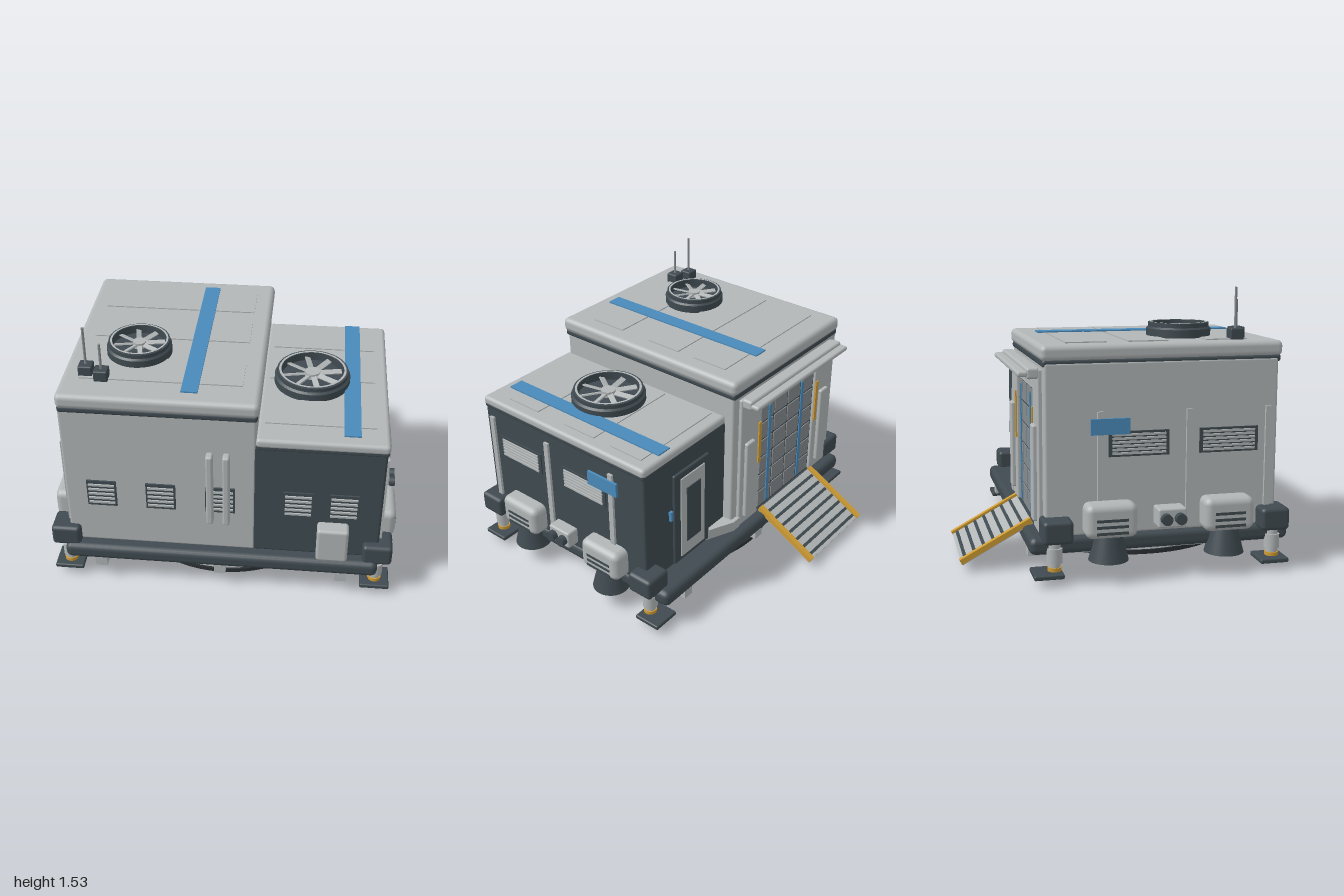
import * as THREE from 'three';
import { RoundedBoxGeometry } from 'three/addons/geometries/RoundedBoxGeometry.js';

const paint = (name, color) => {
  const m = new THREE.MeshStandardMaterial({ color });
  m.name = name;
  return m;
};

export function createModel() {
  const model = new THREE.Group();
  model.name = 'habitatModule';
  const light = paint('light grey', 0xb2b6b7);
  const dark = paint('slate', 0x3f4a50);
  const mid = paint('mid grey', 0x858b8d);
  const black = paint('rubber black', 0x2b3033);
  const blue = paint('blue', 0x4a8abb);
  const deepBlue = paint('deep blue', 0x2060ac);
  const yellow = paint('amber', 0xcf9c34);

  const add = (name, geo, mat, x, y, z, parent = model) => {
    const m = new THREE.Mesh(geo, mat);
    m.name = name;
    m.position.set(x, y, z);
    parent.add(m);
    return m;
  };
  // Box given by its extents on each axis, with optional rounded edges
  const box = (name, mat, x0, x1, y0, y1, z0, z1, r = 0, parent = model) => {
    const s = [x1 - x0, y1 - y0, z1 - z0];
    const geo = r ? new RoundedBoxGeometry(...s, 2, r) : new THREE.BoxGeometry(...s);
    return add(name, geo, mat, (x0 + x1) / 2, (y0 + y1) / 2, (z0 + z1) / 2, parent);
  };
  const cyl = (name, mat, r0, r1, h, x, y, z, parent = model, n = 24) =>
    add(name, new THREE.CylinderGeometry(r0, r1, h, n), mat, x, y, z, parent);

  // Louvred vent facing +z, turned about y
  const vent = (w, h, slats, x, y, z, turn = 0) => {
    const g = new THREE.Group();
    g.name = 'vent';
    box('ventPlate', dark, -w / 2, w / 2, -h / 2, h / 2, -0.005, 0.008, 0, g);
    for (let i = 0; i < slats; i++) {
      const sy = ((i + 0.5) / slats - 0.5) * h * 0.88;
      box('ventSlat', light, -w * 0.44, w * 0.44, sy - 0.006, sy + 0.006, 0.006, 0.016, 0, g);
    }
    g.position.set(x, y, z);
    g.rotation.y = turn;
    model.add(g);
  };

  // Base deck and runners
  box('baseDeck', dark, -0.89, 0.89, 0.15, 0.245, -0.555, 0.885, 0.035);
  for (const x of [-0.685, 0, 0.685])
    box('underRunner', light, x - 0.033, x + 0.033, 0.1, 0.16, -0.54, 0.875);

  // Turntable under the deck
  cyl('turntableSkirt', light, 0.61, 0.635, 0.1, 0, 0.105, 0.16, model, 64);
  cyl('turntablePlate', black, 0.645, 0.645, 0.024, 0, 0.052, 0.16, model, 64);
  const link = new THREE.Group();
  link.name = 'dockingLink';
  cyl('linkBody', deepBlue, 0.022, 0.022, 0.08, 0, 0, 0.06, link).rotation.x = Math.PI / 2;
  cyl('linkTail', deepBlue, 0.013, 0.03, 0.11, 0, 0, -0.025, link).rotation.x = Math.PI / 2;
  cyl('linkNub', light, 0.013, 0.013, 0.07, 0, 0.008, 0.135, link).rotation.x = Math.PI / 2;
  link.position.y = 0.03;
  model.add(link);

  // Tall and low bodies with their roof caps
  box('tallBody', light, -0.865, 0.195, 0.24, 1.16, -0.47, 0.81, 0.015);
  box('tallRoofBand', dark, -0.862, 0.2, 1.135, 1.175, -0.478, 0.825, 0.015);
  box('tallRoofCap', light, -0.868, 0.21, 1.165, 1.25, -0.487, 0.835, 0.03);
  box('lowBody', dark, 0.18, 0.89, 0.24, 0.97, -0.41, 0.81, 0.015);
  box('lowRoofBand', dark, 0.19, 0.895, 0.95, 0.985, -0.41, 0.812, 0.012);
  box('lowRoofCap', light, 0.19, 0.9, 0.965, 1.022, -0.415, 0.815, 0.022);

  // Roof panels and blue stripes
  for (const [z0, z1] of [[-0.34, -0.12], [0, 0.22], [0.43, 0.66]]) {
    box('tallRoofPanel', light, -0.77, 0.11, 1.246, 1.256, z0, z1);
    box('lowRoofPanel', light, 0.23, 0.83, 1.018, 1.028, z0, z1);
  }
  box('tallRoofStripe', blue, -0.21, -0.12, 1.255, 1.263, -0.39, 0.75);
  box('lowRoofStripe', blue, 0.655, 0.745, 1.028, 1.036, -0.39, 0.75);

  // Roof fans
  const fan = (x, y, z, r) => {
    const g = new THREE.Group();
    g.name = 'roofFan';
    const profile = [[1, 0], [1, 0.045], [0.94, 0.055], [0.94, 0.078], [0.82, 0.078], [0.82, 0.03], [0, 0.03]]
      .map(([a, b]) => new THREE.Vector2(a * r, b));
    // Duplicated points keep the rim corners crisp
    const crisp = profile.flatMap((p, i) => (i && i < profile.length - 1 ? [p, p.clone()] : [p]));
    add('fanRim', new THREE.LatheGeometry(crisp, 48), dark, 0, 0, 0, g).material = dark;
    const ring = add('fanRing', new THREE.RingGeometry(r * 0.83, r * 0.89, 48), light, 0, 0.081, 0, g);
    ring.rotation.x = -Math.PI / 2;
    cyl('fanHub', light, r * 0.2, r * 0.2, 0.035, 0, 0.05, 0, g);
    for (let i = 0; i < 8; i++) {
      const arm = new THREE.Group();
      arm.name = 'fanBlade';
      arm.rotation.y = (i / 8) * Math.PI * 2 + 0.2;
      box('blade', light, r * 0.18, r * 0.78, -0.004, 0.004, -r * 0.075, r * 0.075, 0, arm)
        .rotation.x = 0.35;
      arm.position.y = 0.052;
      g.add(arm);
    }
    g.position.set(x, y, z);
    model.add(g);
  };
  fan(-0.49, 1.25, 0.36, 0.18);
  fan(0.47, 1.02, 0.22, 0.215);

  // Antennas
  for (const [x, z, top] of [[-0.738, 0.605, 1.53], [-0.647, 0.645, 1.46]]) {
    box('antennaBase', dark, x - 0.038, x + 0.038, 1.245, 1.31, z - 0.038, z + 0.038, 0.008);
    cyl('antennaRod', mid, 0.007, 0.007, top - 1.3, x, (top + 1.3) / 2, z, model, 10);
  }

  // Front face details
  for (const x of [-0.66, -0.33, 0, 0.43, 0.68]) vent(0.165, 0.17, 5, x, 0.595, 0.812);
  for (const x of [-0.054, 0.037])
    box('frontPipe', light, x - 0.019, x + 0.019, 0.455, 0.925, 0.81, 0.868, 0.012);
  box('utilityBox', light, 0.54, 0.715, 0.26, 0.48, 0.8, 0.893, 0.018);

  // Corner blocks with stabiliser legs, and the equipment on both sides
  for (const s of [-1, 1]) {
    for (const [z, legZ, footZ] of [[0.78, 0.79, 0.78], [-0.415, -0.425, -0.465]]) {
      const x = s * 0.883;
      box('cornerBlock', dark, x - 0.083, x + 0.083, 0.225, 0.35, z - 0.08, z + 0.08, 0.022);
      cyl('legColumn', light, 0.032, 0.032, 0.17, x, 0.16, legZ);
      cyl('legCollar', light, 0.042, 0.042, 0.08, x, 0.15, legZ);
      cyl('legRing', yellow, 0.038, 0.038, 0.02, x, 0.078, legZ);
      box('legFoot', dark, x - 0.083, x + 0.083, 0.042, 0.068, footZ - 0.08, footZ + 0.08, 0.008);
    }
    const wall = s > 0 ? 0.89 : -0.865;
    const span = (name, mat, a, b, ...rest) =>
      box(name, mat, Math.min(s * a, s * b), Math.max(s * a, s * b), ...rest);
    const w = Math.abs(wall);
    for (const z of [0.755, 0.31, -0.175])
      span('sideStrip', light, w - 0.005, w + 0.015, 0.26, 0.9, z - 0.016, z + 0.016);
    for (const z of [0.533, 0.035]) vent(0.33, 0.135, 6, wall, 0.725, z, s * Math.PI / 2);
    span('sideBluePanel', blue, w + 0.01, w + 0.026, 0.78, 0.865, -0.23, -0.02);

    // Thrusters
    for (const z of [0.51, -0.135]) {
      span('thrusterHousing', light, 0.85, 0.988, 0.245, 0.43, z - 0.14, z + 0.14, 0.04);
      for (let i = 0; i < 3; i++)
        span('thrusterSlot', dark, 0.98, 0.991, 0.27 + i * 0.034, 0.285 + i * 0.034, z - 0.085, z + 0.085);
      cyl('thrusterCone', dark, 0.07, 0.108, 0.15, s * 0.888, 0.185, z, model, 32);
      const inner = cyl('thrusterRing', mid, 0.09, 0.09, 0.004, s * 0.888, 0.109, z, model, 32);
      inner.scale.y = 0.9;
      cyl('thrusterThroat', black, 0.08, 0.08, 0.004, s * 0.888, 0.107, z, model, 32);
    }
    // Twin port between the thrusters
    span('portBox', light, 0.85, 0.965, 0.28, 0.385, 0.118, 0.275, 0.012);
    for (const z of [0.158, 0.235])
      cyl('port', dark, 0.03, 0.03, 0.05, s * 0.975, 0.332, z).rotation.z = Math.PI / 2;
  }

  // Rear gate: frame, grid of panels and lights
  for (const [a, b] of [[-0.8, -0.625], [-0.045, 0.145]])
    box('gateJamb', light, a, b, 0.245, 1.12, -0.492, -0.46, 0.008);
  box('gateHeader', light, -0.64, -0.03, 1.0, 1.12, -0.492, -0.46);
  box('gateBacking', dark, -0.625, -0.045, 0.245, 1.0, -0.474, -0.46);
  for (let i = 0; i < 4; i++)
    for (let j = 0; j < 6; j++) {
      const x = -0.612 + i * 0.14, y = 0.262 + j * 0.122;
      box('gatePanel', mid, x, x + 0.126, y, y + 0.108, -0.48, -0.472);
    }
  for (const x of [-0.49, -0.15])
    box('gateLight', blue, x - 0.012, x + 0.012, 0.27, 0.96, -0.486, -0.479);
  for (const x of [-0.637, -0.033])
    box('gateMarker', yellow, x - 0.012, x + 0.012, 0.62, 0.9, -0.5, -0.491);
  for (const x of [-0.71, 0.07])
    box('jambPlate', light, x - 0.04, x + 0.04, 0.3, 0.82, -0.515, -0.485, 0.01);
  box('awning', light, -0.8, 0.14, 1.07, 1.13, -0.55, -0.48, 0.015);
  box('awningLip', light, -0.8, 0.14, 1.083, 1.112, -0.597, -0.54, 0.012);
  box('awningLight', blue, -0.55, -0.1, 1.052, 1.072, -0.545, -0.525);

  // Wedge where the tall body steps to the low body
  const wedge = new THREE.Shape([[0.14, 0.4], [0.14, 0.495], [0.2, 0.495], [0.37, 0.42], [0.37, 0.4]]
    .map(([x, z]) => new THREE.Vector2(x, z)));
  add('cornerWedge', new THREE.ExtrudeGeometry(wedge, { depth: 0.07, bevelEnabled: false }), light, 0, 0.24, 0)
    .rotation.x = -Math.PI / 2;

  // Rear door
  box('doorFrame', dark, 0.35, 0.66, 0.25, 0.86, -0.425, -0.4, 0.01);
  box('doorLeaf', light, 0.4, 0.61, 0.28, 0.82, -0.432, -0.42, 0.005);
  box('doorWindow', dark, 0.445, 0.565, 0.37, 0.74, -0.438, -0.431);
  box('doorLight', blue, 0.675, 0.695, 0.58, 0.64, -0.428, -0.405);

  // Ramp
  const ramp = new THREE.Group();
  ramp.name = 'ramp';
  box('rampBed', light, -0.285, 0.285, -0.01, 0.01, -0.22, 0.22, 0, ramp);
  for (let i = 0; i < 7; i++) {
    const z = -0.19 + i * 0.06;
    box('rampRib', dark, -0.245, 0.245, 0.008, 0.016, z - 0.009, z + 0.009, 0, ramp);
  }
  for (const s of [-1, 1])
    box('rampRail', yellow, s * 0.27 - 0.016, s * 0.27 + 0.016, -0.006, 0.024, -0.222, 0.222, 0, ramp);
  ramp.position.set(-0.335, 0.155, -0.692);
  ramp.rotation.x = -0.499;
  model.add(ramp);

  return model;
}
